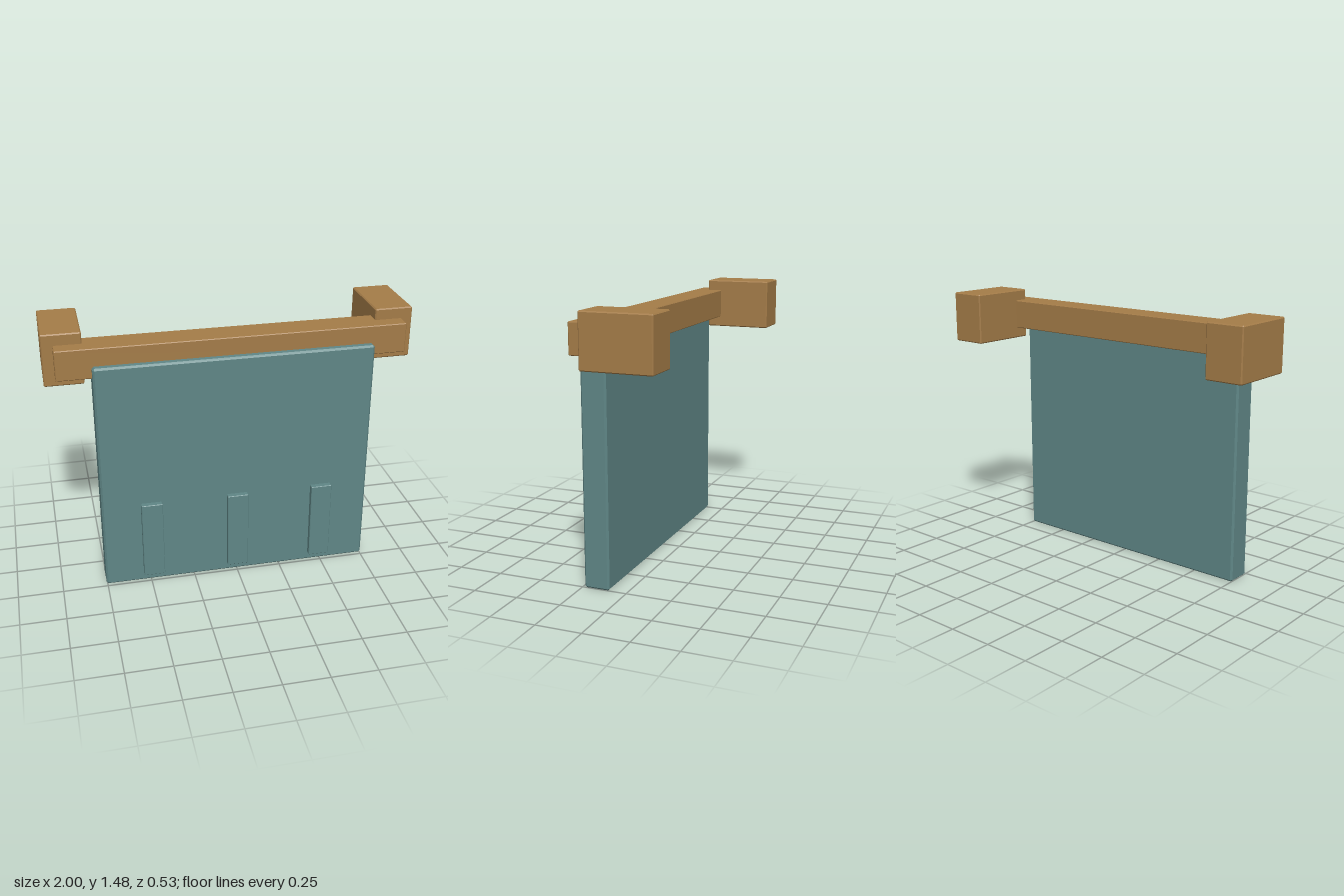
import * as THREE from 'three';
import { ConvexGeometry } from 'three/addons/geometries/ConvexGeometry.js';

const wood = new THREE.MeshStandardMaterial({ name: 'wood', color: 0xa47c48 });
const teal = new THREE.MeshStandardMaterial({ name: 'teal cloth', color: 0x5f8686 });

// Box between two corners with every edge chamfered by c
function chamferBox(name, material, min, max, c) {
  const half = min.map((v, i) => (max[i] - v) / 2);
  const points = [];
  for (const sx of [-1, 1]) for (const sy of [-1, 1]) for (const sz of [-1, 1]) {
    for (let axis = 0; axis < 3; axis++) {
      const p = [sx, sy, sz].map((s, i) => s * (half[i] - (i === axis ? 0 : c)));
      points.push(new THREE.Vector3(...p));
    }
  }
  const mesh = new THREE.Mesh(new ConvexGeometry(points), material);
  mesh.name = name;
  mesh.position.set(...min.map((v, i) => (v + max[i]) / 2));
  return mesh;
}

export function createModel() {
  const model = new THREE.Group();
  model.name = 'hangingPanel';

  // Horizontal beam and the hanging panel below it
  model.add(chamferBox('beam', wood, [-0.94, 1.258, 0.033], [0.94, 1.422, 0.198], 0.004));
  model.add(chamferBox('panel', teal, [-0.755, 0, 0.095], [0.755, 1.325, 0.236], 0.01));

  // Wall blocks at both ends of the beam
  for (const [name, x] of [['rightBlock', -0.895], ['leftBlock', 0.895]]) {
    model.add(chamferBox(name, wood, [x - 0.105, 1.197, -0.267], [x + 0.105, 1.483, 0.115], 0.006));
  }

  // Raised strips on the front of the panel
  for (const x of [-0.483, 0, 0.483]) {
    model.add(chamferBox('frontStrip', teal, [x - 0.059, 0.05, 0.21], [x + 0.059, 0.506, 0.267], 0.003));
  }
  return model;
}
